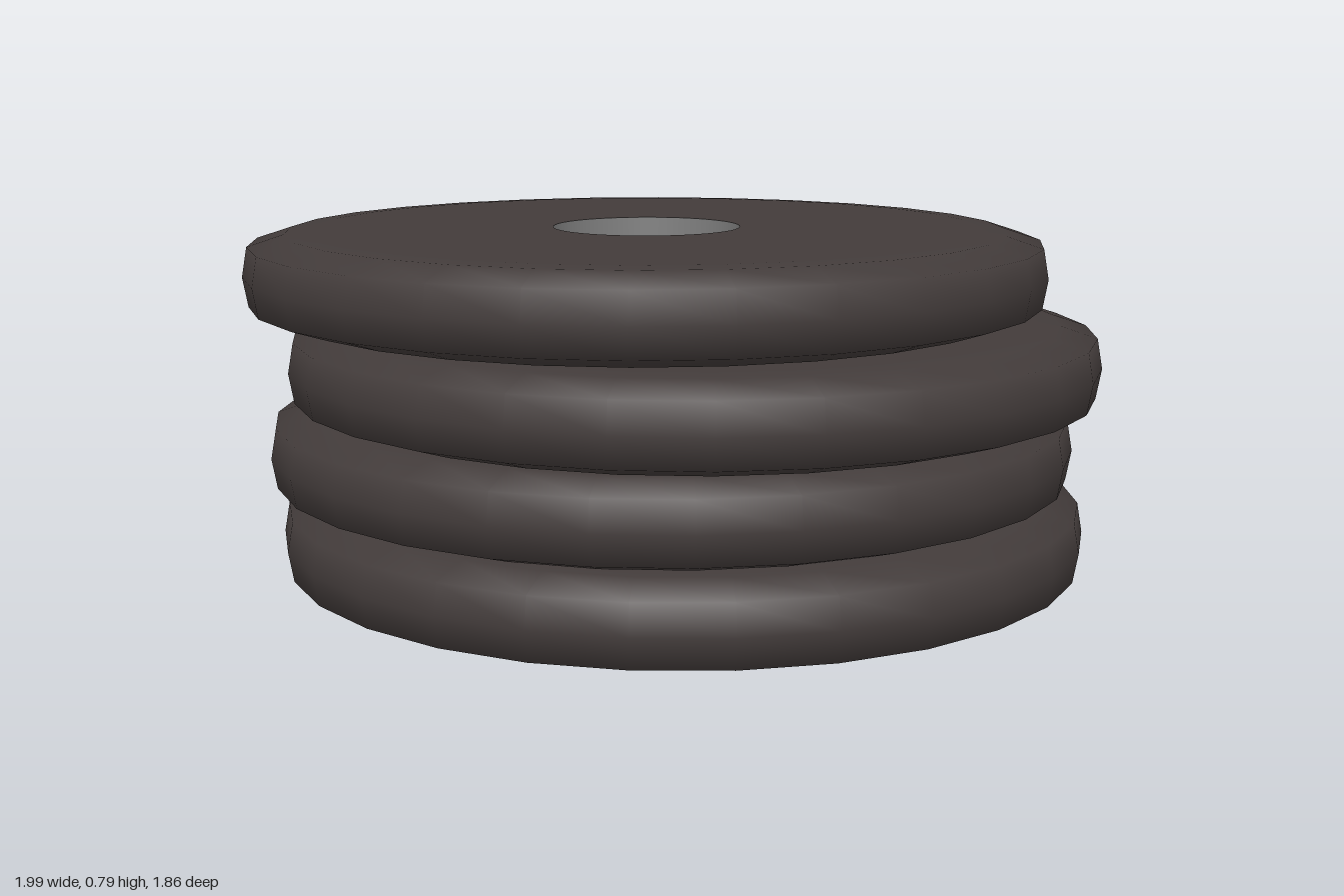
import * as THREE from 'three';

const SIDES = 28, RADIUS = 0.93, HEIGHT = 0.196, PITCH = 0.198, HOLE = 0.218, FLAT = 0.78;

// Points on a circle, as a closed outline
const ring = (r, n) => Array.from({ length: n }, (_, i) => {
  const a = (i / n) * Math.PI * 2;
  return new THREE.Vector2(Math.cos(a) * r, Math.sin(a) * r);
});

export function createModel() {
  const model = new THREE.Group();
  model.name = 'discStack';

  const rubber = new THREE.MeshStandardMaterial({ color: 0x423b3a });
  rubber.name = 'darkRubber';
  const grey = new THREE.MeshStandardMaterial({ color: 0x808080, side: THREE.DoubleSide });
  grey.name = 'holeGrey';

  // Rounded rim with a closed underside
  const profile = [
    [0, 0], [FLAT, 0], [0.835, 0.003], [0.918, 0.03], [RADIUS, HEIGHT / 2],
    [0.918, HEIGHT - 0.03], [0.835, HEIGHT - 0.003], [FLAT, HEIGHT],
  ].map(([r, y]) => new THREE.Vector2(r, y));
  const bodyGeo = new THREE.LatheGeometry(profile, SIDES);

  // Flat upper face with the centre hole
  const face = new THREE.Shape(ring(FLAT, SIDES));
  face.holes.push(new THREE.Path(ring(HOLE, 56)));
  const faceGeo = new THREE.ShapeGeometry(face).rotateX(-Math.PI / 2).translate(0, HEIGHT, 0);

  // Hole lining and its floor
  const wallGeo = new THREE.CylinderGeometry(HOLE, HOLE, HEIGHT, 56, 1, true).scale(-1, 1, 1);
  wallGeo.translate(0, HEIGHT / 2, 0);
  // Mirroring turns the faces inward; point the normals inward too
  const n = wallGeo.attributes.normal;
  const p = wallGeo.attributes.position;
  for (let i = 0; i < n.count; i++) n.setXYZ(i, -p.getX(i) / HOLE, 0, -p.getZ(i) / HOLE);
  const floorGeo = new THREE.CircleGeometry(HOLE, 56).rotateX(-Math.PI / 2).translate(0, 0.003, 0);

  const parts = [
    ['body', bodyGeo, rubber],
    ['upperFace', faceGeo, rubber],
    ['holeWall', wallGeo, grey],
    ['holeFloor', floorGeo, rubber],
  ];

  // Sideways offset and turn in degrees, from the bottom disc up
  [[0.035, 3], [0, 0], [0.065, -1], [-0.07, 8.3]].forEach(([x, turn], i) => {
    const disc = new THREE.Group();
    disc.name = `disc${i + 1}`;
    for (const [name, geo, mat] of parts) {
      const mesh = new THREE.Mesh(geo, mat);
      mesh.name = name;
      disc.add(mesh);
    }
    disc.position.set(x, i * PITCH, 0);
    disc.rotation.y = THREE.MathUtils.degToRad(turn);
    model.add(disc);
  });
  return model;
}
